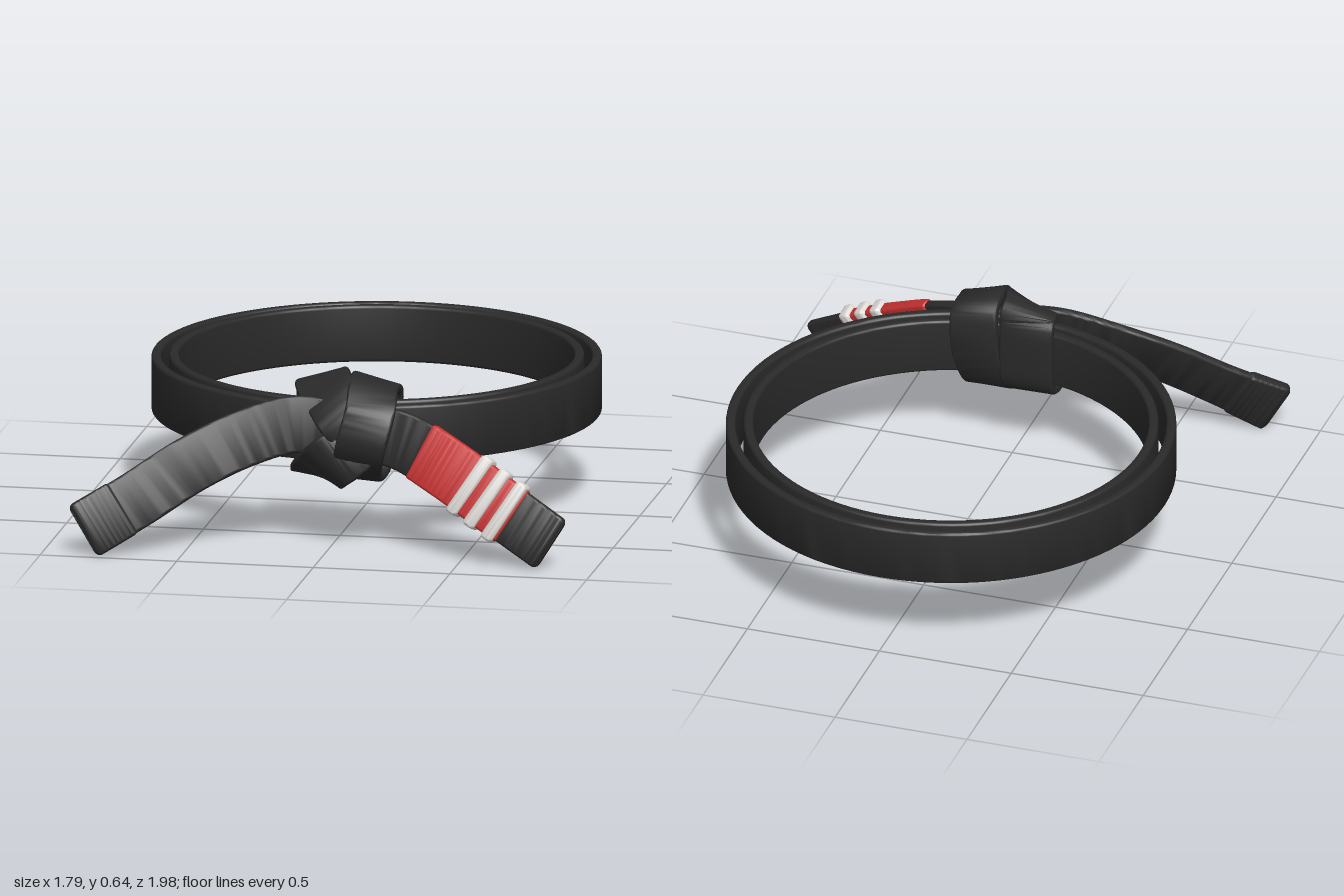
import * as THREE from 'three';
import { toCreasedNormals } from 'three/addons/utils/BufferGeometryUtils.js';

const mat = (name, color) => {
  const m = new THREE.MeshStandardMaterial({ color });
  m.name = name;
  return m;
};

// Rounded rectangle outline, counter-clockwise, centred on the origin
function section(hw, ht, r) {
  const pts = [];
  [[1, 1], [-1, 1], [-1, -1], [1, -1]].forEach(([sx, sy], q) => {
    for (let k = 0; k <= 4; k++) {
      const a = (q + k / 4) * Math.PI / 2;
      pts.push([sx * (hw - r) + r * Math.cos(a), sy * (ht - r) + r * Math.sin(a)]);
    }
  });
  return pts;
}

// Strap swept through keys [x, y, z, wx, wy, wz]: centre point and width direction
function ribbon(keys, { width, thick, closed = false, from = 0, to = 1, round = 0.02, steps = 72 }) {
  const curve = (o) => new THREE.CatmullRomCurve3(
    keys.map((k) => new THREE.Vector3(k[o], k[o + 1], k[o + 2])), closed, 'catmullrom', 0.5);
  const path = curve(0), widths = curve(3);
  const span = path.getLength() * (to - from);
  const pos = [], idx = [], n = 20;
  for (let i = 0; i <= steps; i++) {
    const s = closed ? i / steps : (1 - Math.cos(Math.PI * i / steps)) / 2;
    const t = from + (to - from) * s;
    const c = path.getPoint(t), tan = path.getTangent(t);
    const w = widths.getPoint(t);
    w.addScaledVector(tan, -w.dot(tan)).normalize();
    const nor = tan.clone().cross(w);
    // open ends are rounded off
    const d = Math.min(s, 1 - s) * span;
    const cut = closed || d >= round ? 0 : round - Math.sqrt(round * round - (round - d) ** 2);
    const hw = width / 2 - cut, ht = thick / 2 - Math.min(cut, thick * 0.25);
    for (const [a, b] of section(hw, ht, Math.min(0.011, ht * 0.8))) {
      const p = c.clone().addScaledVector(w, a).addScaledVector(nor, b);
      pos.push(p.x, p.y, p.z);
    }
  }
  for (let i = 0; i < steps; i++) {
    for (let j = 0; j < n; j++) {
      const k = (j + 1) % n, a = i * n, b = a + n;
      idx.push(a + j, a + k, b + k, a + j, b + k, b + j);
    }
  }
  if (!closed) {
    const e = steps * n;
    for (let j = 1; j < n - 1; j++) idx.push(0, j + 1, j, e, e + j, e + j + 1);
  }
  const g = new THREE.BufferGeometry();
  g.setAttribute('position', new THREE.Float32BufferAttribute(pos, 3));
  g.setIndex(idx);
  return toCreasedNormals(g, 0.7);
}

export function createModel() {
  const black = mat('black cotton', 0x2a2a2a);
  const red = mat('red sleeve', 0xc83232);
  const white = mat('white tape', 0xdedbd7);
  const model = new THREE.Group();
  model.name = 'knottedBelt';
  const add = (name, geometry, material) => {
    const m = new THREE.Mesh(geometry, material);
    m.name = name;
    model.add(m);
  };

  // Two concentric turns around the waist
  const turn = (radius, y) => {
    const pts = section(0.0175, 0.104, 0.011).map(([a, b]) => new THREE.Vector2(radius + a, y + b));
    pts.push(pts[0].clone());
    const g = new THREE.LatheGeometry(pts, 96);
    g.translate(0, 0, -0.19);
    return toCreasedNormals(g, 0.7);
  };
  add('outerTurn', turn(0.792, 0.413), black);
  add('innerTurn', turn(0.728, 0.417), black);

  // Knot: a front wrap over a diagonal wrap
  add('knotFrontWrap', ribbon([
    [0.14, 0.59, 0.59, 1, -0.3, 0],
    [0.15, 0.52, 0.7, 1, -0.25, 0],
    [0.12, 0.39, 0.735, 1, -0.2, 0],
    [0.09, 0.275, 0.64, 1, -0.1, 0],
    [0.1, 0.275, 0.53, 1, 0, 0],
    [0.13, 0.41, 0.48, 1, 0, 0],
    [0.14, 0.56, 0.49, 1, -0.2, 0],
  ], { width: 0.18, thick: 0.035, closed: true }), black);
  add('knotDiagonalWrap', ribbon([
    [-0.05, 0.588, 0.56, 1, 0.35, 0],
    [0.03, 0.515, 0.675, 0.6, 0.75, -0.3],
    [0.1, 0.41, 0.69, 1, 0, 0],
    [0, 0.32, 0.705, 0.7, -0.7, 0],
    [-0.06, 0.27, 0.6, 1, -0.15, 0],
    [-0.06, 0.3, 0.5, 1, 0, 0],
    [-0.06, 0.42, 0.48, 1, 0, 0],
    [-0.06, 0.57, 0.49, 1, 0.3, 0],
  ], { width: 0.2, thick: 0.035, closed: true }), black);

  // Tail on the model's right, with a folded end
  const rightTail = [
    [0.05, 0.43, 0.64, 0, 1, 0],
    [-0.13, 0.45, 0.66, -0.15, 1, -0.2],
    [-0.31, 0.4, 0.71, -0.32, 0.95, -0.25],
    [-0.49, 0.315, 0.79, -0.42, 0.9, -0.25],
    [-0.67, 0.2, 0.885, -0.47, 0.88, -0.2],
    [-0.85, 0.093, 0.968, -0.47, 0.88, 0],
  ];
  add('rightTail', ribbon(rightTail, { width: 0.205, thick: 0.034, to: 0.98 }), black);
  add('rightTailEnd', ribbon(rightTail, { width: 0.212, thick: 0.044, from: 0.845 }), black);

  // Tail on the model's left, with a coloured sleeve and three tape bands
  const leftTail = [
    [0.05, 0.42, 0.62, 0, 1, 0],
    [0.25, 0.405, 0.65, 0.25, 1, -0.15],
    [0.45, 0.322, 0.735, 0.43, 0.88, -0.25],
    [0.65, 0.212, 0.815, 0.46, 0.87, -0.22],
    [0.845, 0.097, 0.865, 0.5, 0.85, -0.1],
  ];
  add('leftTail', ribbon(leftTail, { width: 0.21, thick: 0.036 }), black);
  add('leftTailSleeve', ribbon(leftTail,
    { width: 0.218, thick: 0.046, from: 0.355, to: 0.81, round: 0.006 }), red);
  [0.605, 0.69, 0.775].forEach((t, i) => add('tapeBand' + (i + 1), ribbon(leftTail,
    { width: 0.244, thick: 0.066, from: t - 0.026, to: t + 0.026, round: 0.014, steps: 14 }), white));

  return model;
}
